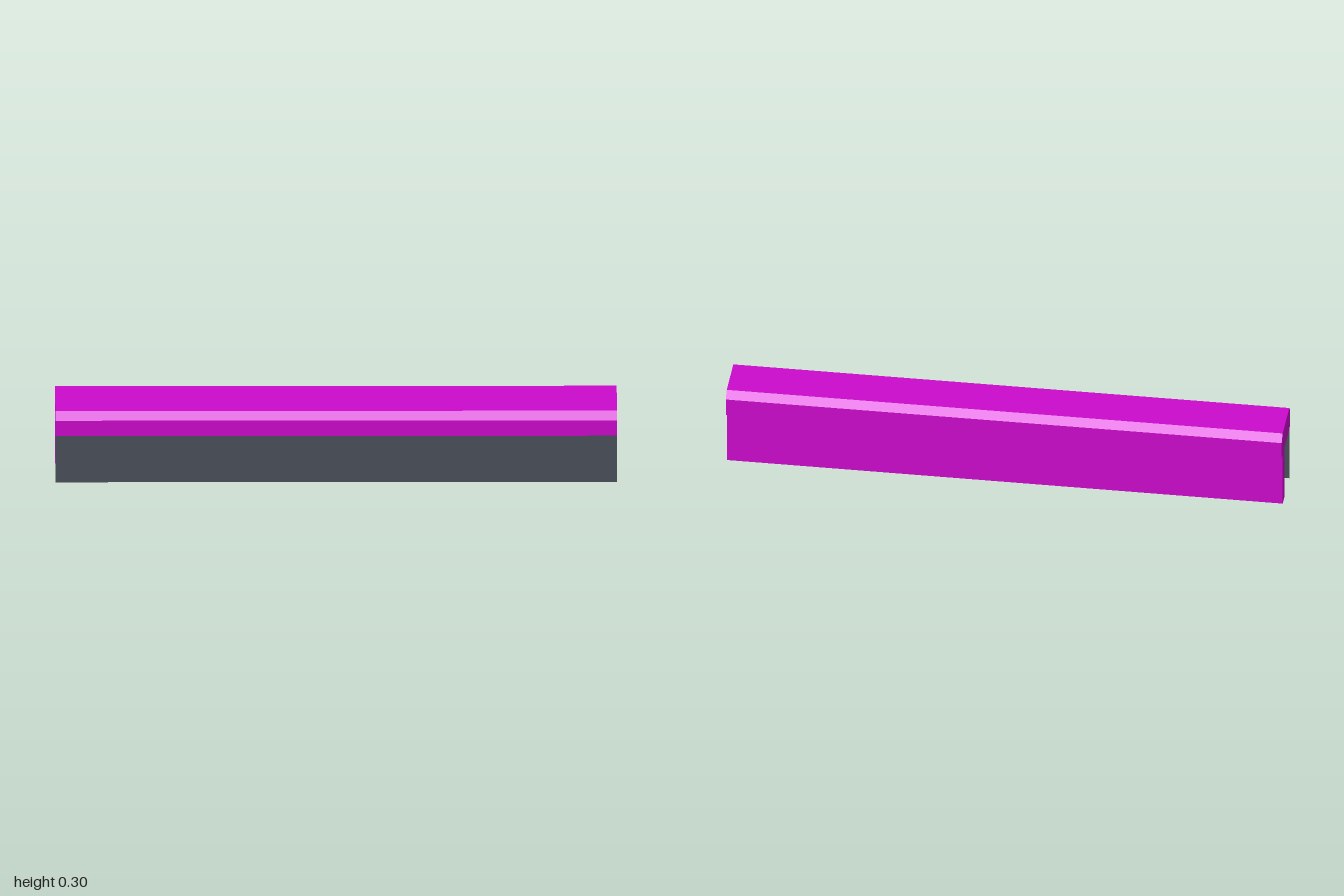
import * as THREE from 'three';

const LENGTH = 2;

export function createModel() {
  const magenta = new THREE.MeshStandardMaterial({ color: 0xcc0acc, side: THREE.DoubleSide });
  magenta.name = 'magenta';
  const slate = new THREE.MeshStandardMaterial({ color: 0x4a4f58, side: THREE.DoubleSide });
  slate.name = 'slate';

  const group = new THREE.Group();
  const add = (name, geometry, material, y = 0, z = 0) => {
    const mesh = new THREE.Mesh(geometry, material);
    mesh.name = name;
    mesh.position.set(0, y, z);
    group.add(mesh);
  };

  // Top rail: chamfered profile drawn in (-z, y) and extruded along x
  const profile = new THREE.Shape([
    [-0.108, 0.21], [0.108, 0.21], [0.108, 0.275],
    [0.083, 0.3], [-0.083, 0.3], [-0.108, 0.275],
  ].map(([a, b]) => new THREE.Vector2(a, b)));
  const rail = new THREE.ExtrudeGeometry(profile, { depth: LENGTH, bevelEnabled: false });
  rail.translate(0, 0, -LENGTH / 2).rotateY(Math.PI / 2);
  add('topRail', rail, magenta);

  // Back skirt: thin box hanging under the rail, open on its inner (+z) side
  const skirt = new THREE.BoxGeometry(LENGTH, 0.21, 0.04);
  const index = Array.from(skirt.index.array);
  index.splice(24, 6);
  skirt.setIndex(index);
  skirt.clearGroups();
  add('backSkirt', skirt, magenta, 0.105, -0.0625);

  // Front panel: a single sheet
  add('frontPanel', new THREE.PlaneGeometry(LENGTH, 0.21), slate, 0.105, 0.083);

  return group;
}
